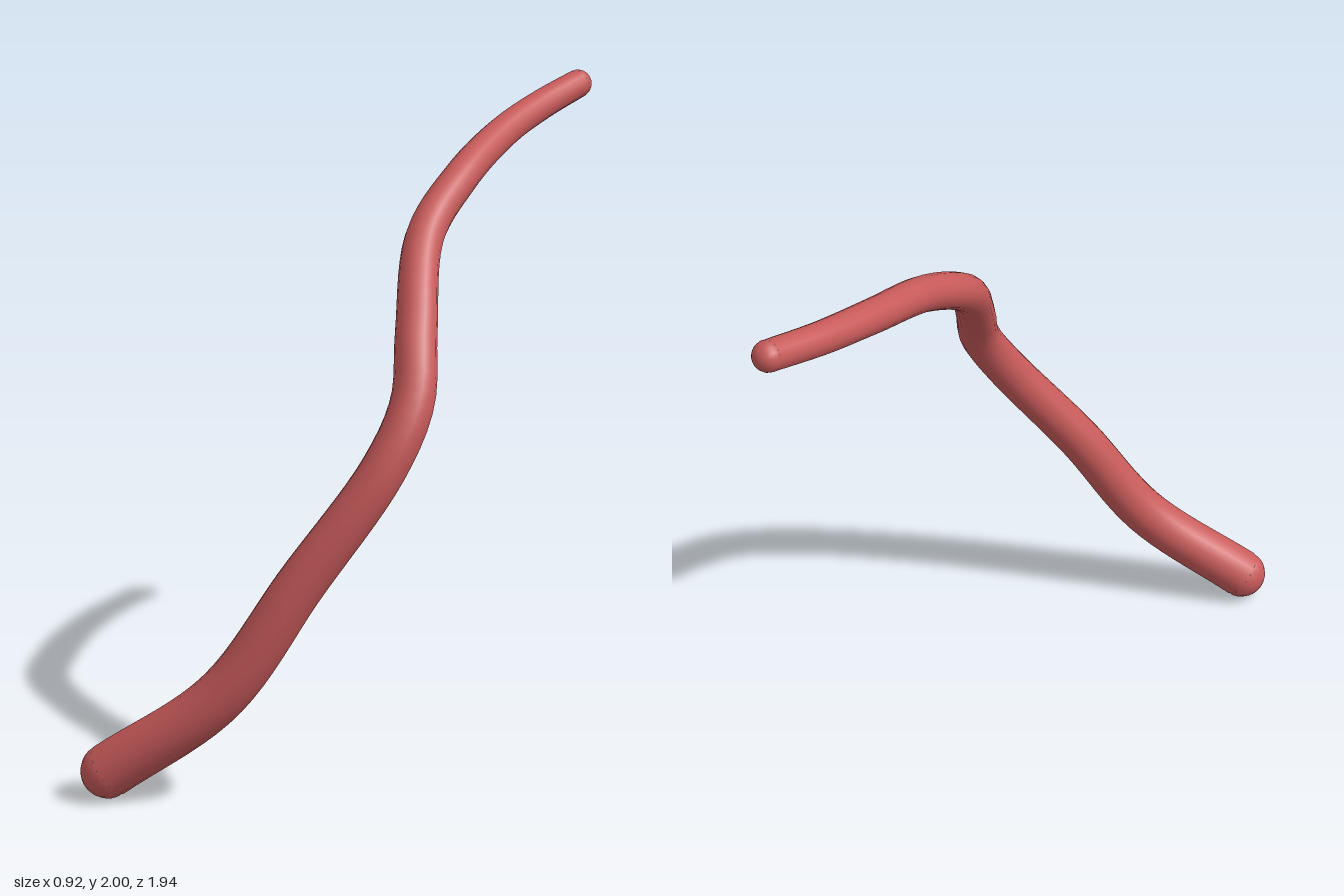
import * as THREE from 'three';

// Centre line of the strand, thick end first
const PATH = [
  [-0.38, 0.083, 0.885], [-0.06, 0.33, 0.775], [0.15, 0.67, 0.66], [0.345, 1.0, 0.51],
  [0.39, 1.18, 0.405], [0.35, 1.36, 0.285], [0.274, 1.6, 0.05], [0.286, 1.745, -0.2],
  [0.305, 1.845, -0.5], [0.345, 1.905, -0.73], [0.4, 1.954, -0.923],
].map((p) => new THREE.Vector3(...p));
const R_START = 0.083, R_END = 0.046, SEGMENTS = 64, SIDES = 16;

// Tube whose rings shrink evenly from start to end
function taperedTube(curve) {
  const geometry = new THREE.TubeGeometry(curve, SEGMENTS, 1, SIDES, false);
  const pos = geometry.attributes.position;
  const v = new THREE.Vector3();
  for (let i = 0; i <= SEGMENTS; i++) {
    const t = i / SEGMENTS;
    const centre = curve.getPointAt(t);
    const radius = THREE.MathUtils.lerp(R_START, R_END, t);
    for (let j = 0; j <= SIDES; j++) {
      const k = i * (SIDES + 1) + j;
      v.fromBufferAttribute(pos, k).sub(centre).multiplyScalar(radius).add(centre);
      pos.setXYZ(k, v.x, v.y, v.z);
    }
  }
  geometry.computeBoundingSphere();
  return geometry;
}

export function createModel() {
  const group = new THREE.Group();
  group.name = 'curvedStrand';
  const material = new THREE.MeshStandardMaterial({ color: 0xc85a5a });
  const curve = new THREE.CatmullRomCurve3(PATH, false, 'centripetal');

  const add = (name, geometry) => {
    const mesh = new THREE.Mesh(geometry, material);
    mesh.name = name;
    group.add(mesh);
    return mesh;
  };

  add('strand', taperedTube(curve));

  // Rounded ends: half spheres facing out along the path
  const up = new THREE.Vector3(0, 1, 0);
  for (const [name, t, radius, sign] of [['thickEnd', 0, R_START, -1], ['thinEnd', 1, R_END, 1]]) {
    const cap = add(name, new THREE.SphereGeometry(radius, SIDES, 8, 0, Math.PI * 2, 0, Math.PI / 2));
    cap.position.copy(curve.getPointAt(t));
    cap.quaternion.setFromUnitVectors(up, curve.getTangentAt(t).multiplyScalar(sign));
  }
  return group;
}
